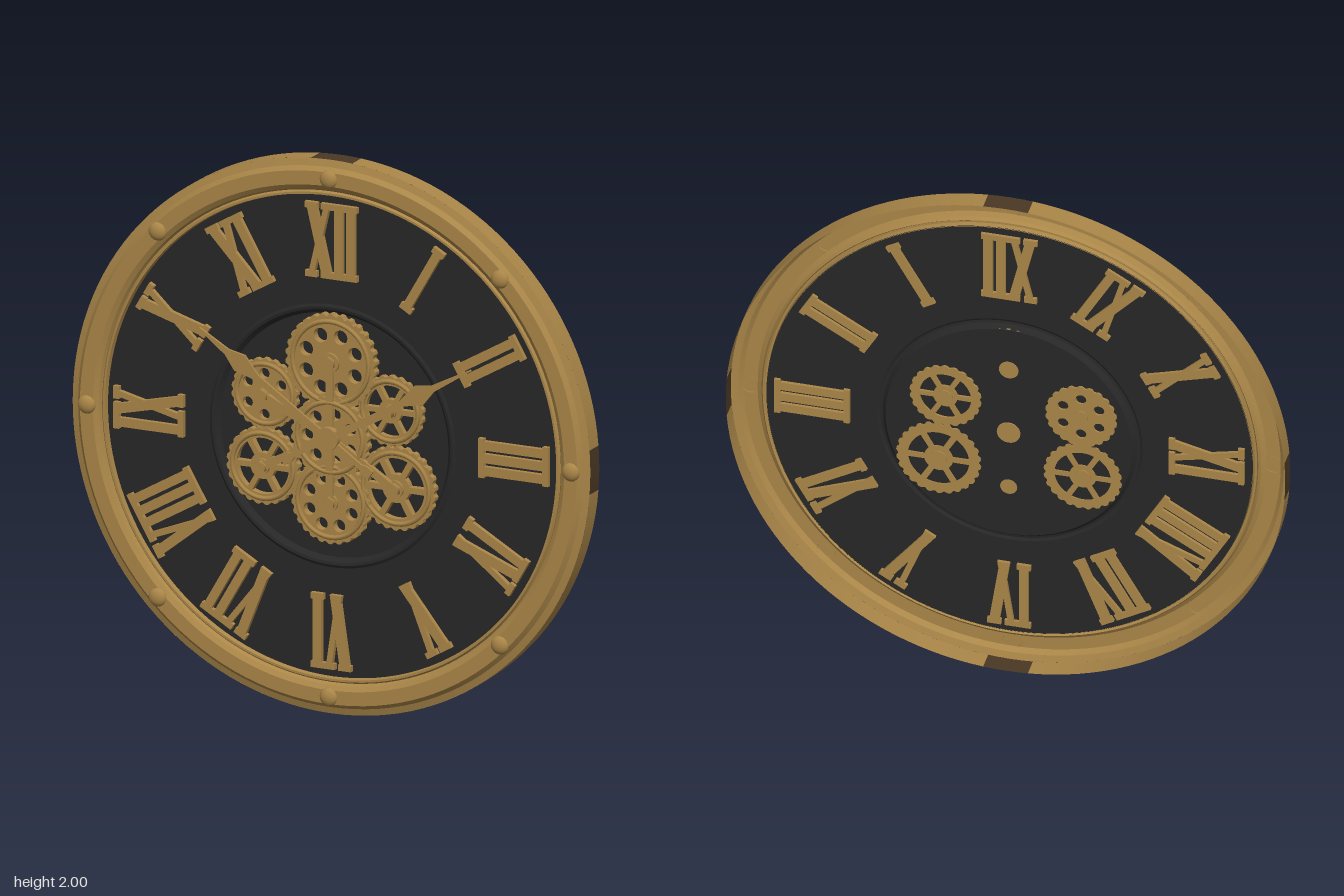
import * as THREE from 'three';
import { toCreasedNormals } from 'three/addons/utils/BufferGeometryUtils.js';

const mat = (name, color, side = THREE.FrontSide) => {
  const m = new THREE.MeshStandardMaterial({ color, side });
  m.name = name;
  return m;
};

export function createModel() {
  const gold = mat('antique gold', 0xaa8648, THREE.DoubleSide);
  const brown = mat('dark brown', 0x4a3824, THREE.DoubleSide);
  const black = mat('dial black', 0x272728, THREE.DoubleSide);

  const model = new THREE.Group();
  model.name = 'wallClock';
  const clock = new THREE.Group(); // origin at the hub, facing +z
  clock.name = 'clock';
  clock.position.y = 1;
  model.add(clock);

  const add = (parent, name, geo, material, x = 0, y = 0, z = 0) => {
    const mesh = new THREE.Mesh(geo, material);
    mesh.name = name;
    mesh.position.set(x, y, z);
    parent.add(mesh);
    return mesh;
  };
  const turned = (pts) => toCreasedNormals(
    new THREE.LatheGeometry(pts.map(([r, z]) => new THREE.Vector2(r, z)), 128).rotateX(Math.PI / 2), 0.4);
  const plate = (shape, depth) => new THREE.ExtrudeGeometry(shape, { depth, bevelEnabled: false, curveSegments: 10 });
  const disc = (r, depth, seg = 24) => new THREE.CylinderGeometry(r, r, depth, seg).rotateX(Math.PI / 2);
  const poly = (pts) => new THREE.Shape(pts.map(([x, y]) => new THREE.Vector2(x, y)));

  // Case: open-backed wall with dark blocks at the four quarters
  const half = 0.08;
  const wall = (start, length, seg) =>
    new THREE.CylinderGeometry(1, 1, 0.07, seg, 1, true, start, length).rotateX(Math.PI / 2);
  for (let i = 0; i < 4; i++) {
    const a = i * Math.PI / 2;
    add(clock, 'wallBlock', wall(a - half, half * 2, 4), brown, 0, 0, -0.025);
    add(clock, 'caseWall', wall(a + half, Math.PI / 2 - half * 2, 30), gold, 0, 0, -0.025);
  }
  // Moulded front rim and recessed dial
  add(clock, 'rim', turned([[1, 0.01], [0.975, 0.018], [0.96, 0.034], [0.91, 0.034], [0.893, 0.022],
    [0.886, 0.01], [0.88, 0.018], [0.872, 0.018], [0.868, -0.002]]), gold);
  add(clock, 'dial', turned([[0.87, 0], [0.475, 0], [0.465, 0.006], [0.455, 0.004], [0.44, -0.014], [0.0001, -0.014]]), black);

  // Rim studs
  for (let i = 0; i < 8; i++) {
    const a = i * Math.PI / 4;
    const stud = new THREE.SphereGeometry(0.034, 16, 6, 0, Math.PI * 2, 0, Math.PI / 2);
    stud.rotateX(Math.PI / 2).scale(1, 1, 0.6);
    add(clock, 'rimStud', stud, gold, 0.935 * Math.cos(a), 0.935 * Math.sin(a), 0.031);
  }

  // Numerals: bars with serifs, tops pointing outward
  const inner = 0.57, outer = 0.84;
  const widths = { I: 0.046, V: 0.105, X: 0.105 };
  const bar = (group, x0, x1, w) => add(group, 'stroke', plate(poly([
    [x0 - w / 2, inner], [x0 + w / 2, inner], [x1 + w / 2, outer], [x1 - w / 2, outer]]), 0.03), gold, 0, 0, -0.012);
  const serif = (group, x, r, w) =>
    add(group, 'serif', new THREE.BoxGeometry(w, 0.022, 0.03), gold, x, r, 0.003);
  const numerals = ['XII', 'I', 'II', 'III', 'IV', 'V', 'VI', 'VII', 'VIII', 'IX', 'X', 'XI'];
  numerals.forEach((text, hour) => {
    const group = new THREE.Group();
    group.name = 'numeral' + hour;
    group.rotation.z = -hour * Math.PI / 6;
    clock.add(group);
    let x = -[...text].reduce((sum, c) => sum + widths[c], 0) / 2;
    for (const c of text) {
      const w = widths[c], mid = x + w / 2;
      if (c === 'I') {
        bar(group, mid, mid, 0.033);
        serif(group, mid, inner + 0.011, 0.05);
        serif(group, mid, outer - 0.011, 0.05);
      } else {
        const low = c === 'V' ? 0.008 : 0.032;
        bar(group, mid + low, mid - 0.032, 0.037);
        bar(group, mid - low, mid + 0.032, 0.022);
        serif(group, mid - 0.03, outer - 0.011, 0.05);
        serif(group, mid + 0.03, outer - 0.011, 0.046);
        if (c === 'X') for (const s of [-1, 1]) serif(group, mid + s * 0.03, inner + 0.011, 0.046);
      }
      x += w;
    }
  });

  // Gears: toothed plates with round holes or spoked openings
  const gear = (name, x, y, z, r, count, spoked) => {
    const group = new THREE.Group();
    group.name = name;
    group.position.set(x, y, z);
    clock.add(group);
    const teeth = Math.round(r * 170), pts = [];
    for (let i = 0; i < teeth; i++) {
      [[0, 0.95], [0.3, 1], [0.6, 1], [0.85, 0.95]].forEach(([f, k]) => {
        const a = (i + f) / teeth * Math.PI * 2;
        pts.push([r * k * Math.cos(a), r * k * Math.sin(a)]);
      });
    }
    const shape = poly(pts);
    for (let i = 0; i < count; i++) {
      const a = (i + 0.5) / count * Math.PI * 2;
      const hole = new THREE.Path();
      if (spoked) {
        const gap = Math.PI / count;
        hole.absarc(0, 0, r * 0.72, a - gap * 0.8, a + gap * 0.8, false);
        hole.absarc(0, 0, r * 0.34, a + gap * 0.6, a - gap * 0.6, true);
      } else hole.absarc(r * 0.58 * Math.cos(a), r * 0.58 * Math.sin(a), r * 0.15, 0, Math.PI * 2, true);
      shape.holes.push(hole);
    }
    add(group, 'gearPlate', plate(shape, 0.03), gold, 0, 0, -0.03);
    add(group, 'gearRim', new THREE.TorusGeometry(r * 0.84, 0.009, 6, 40), gold);
    add(group, 'gearHub', disc(r * 0.2, 0.045), gold, 0, 0, -0.012);
  };
  gear('topGear', 0, 0.27, 0.018, 0.175, 8, false);
  gear('bottomGear', 0, -0.235, 0.018, 0.152, 8, false);
  gear('upperRightGear', -0.26, 0.12, 0.008, 0.128, 6, false);
  gear('upperLeftGear', 0.225, 0.12, 0.008, 0.128, 6, true);
  gear('lowerRightGear', -0.265, -0.14, 0.012, 0.14, 6, true);
  gear('lowerLeftGear', 0.25, -0.155, 0.012, 0.152, 6, true);
  gear('centreGear', 0, 0, 0.024, 0.15, 7, false);

  // Bridge arms from the hub to the gear axles
  [[0, 0.27], [0, -0.235], [-0.26, 0.12], [0.225, 0.12], [-0.265, -0.14], [0.25, -0.155]].forEach(([x, y]) => {
    const len = Math.hypot(x, y);
    const arm = add(clock, 'bridgeArm', new THREE.BoxGeometry(len, 0.028, 0.02), gold, x / 2, y / 2, 0.02);
    arm.rotation.z = Math.atan2(y, x);
    add(clock, 'axleCap', disc(0.024, 0.03, 6), gold, x, y, 0.026);
  });

  // Hands: slim blade, spade and counterweight tail
  const hand = (name, degrees, length, z) => {
    const pts = [[-0.2, 0.018], [-0.17, 0.018], [-0.15, 0.009], [0.33, 0.011], [0.36, 0.02],
      [0.41, 0.036], [0.47, 0.012], [length, 0.003]];
    const mirrored = pts.map(([x, y]) => [x, -y]);
    const mesh = add(clock, name, plate(poly([...mirrored, ...pts.reverse()]), 0.01), gold, 0, 0, z);
    mesh.rotation.z = degrees * Math.PI / 180;
  };
  hand('hourHand', 146, 0.6, 0.033);
  hand('minuteHand', 30, 0.64, 0.038);
  add(clock, 'hub', disc(0.042, 0.07), gold, 0, 0, 0.016);

  return model;
}
